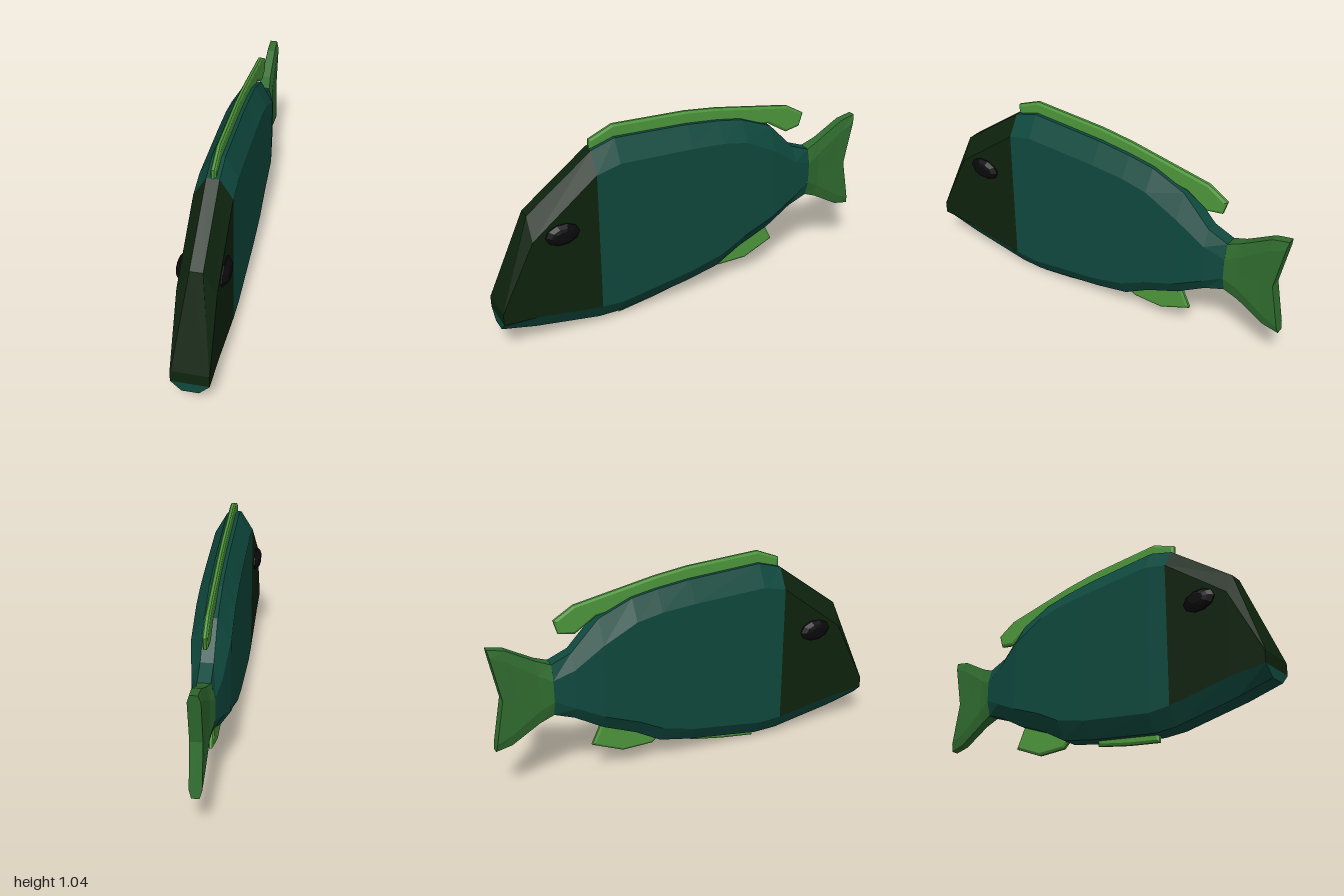
import * as THREE from 'three';

const mat = (name, color) => {
  const m = new THREE.MeshStandardMaterial({ color, flatShading: true });
  m.name = name;
  return m;
};

// Mirror the right-hand points of a cross-section to close it, anticlockwise from the front
const ring = (right) => [...right, ...right.map(([x, y, z]) => [-x, y, z]).reverse()];

const quad = (out, a, b, c, d) => out.push(...a, ...b, ...c, ...a, ...c, ...d);

// Skin the chosen edge bands between consecutive rings, running front to back
function skin(out, rings, bands) {
  for (let i = 0; i < rings.length - 1; i++) {
    const p = rings[i], q = rings[i + 1], n = p.length;
    for (const j of bands) quad(out, p[j], q[j], q[(j + 1) % n], p[(j + 1) % n]);
  }
}

function mesh(name, out, material) {
  const g = new THREE.BufferGeometry();
  g.setAttribute('position', new THREE.Float32BufferAttribute(out, 3));
  g.computeVertexNormals();
  const m = new THREE.Mesh(g, material);
  m.name = name;
  return m;
}

// Bevelled thin fin from a side outline of [z, y] points
function fin(name, outline, material) {
  const shape = new THREE.Shape(outline.map(([z, y]) => new THREE.Vector2(-z, y)));
  const g = new THREE.ExtrudeGeometry(shape, {
    depth: 0.012, bevelThickness: 0.007, bevelSize: 0.012, bevelOffset: -0.012, bevelSegments: 1,
  });
  g.translate(0, 0, -0.006).rotateY(Math.PI / 2);
  const m = new THREE.Mesh(g, material);
  m.name = name;
  return m;
}

export function createModel() {
  const teal = mat('teal body', 0x0f493e);
  const dark = mat('dark green head', 0x0e230e);
  const green = mat('bright green fin', 0x4e983c);
  const tailGreen = mat('mid green tail', 0x306c2f);
  const black = mat('black eye', 0x0a090c);
  const fish = new THREE.Group();
  fish.name = 'fish';

  // Body sections: z, top, shoulder, lower edge, bottom, half width, top half width, bottom half width
  const sections = [
    [1.0, 0.245, 0.24, 0.182, 0.13, 0.09, 0.085, 0.04],
    [0.83, 0.69, 0.58, 0.172, 0.09, 0.09, 0.03, 0.04],
    [0.5, 0.94, 0.84, 0.12, 0.035, 0.09, 0.03, 0.04],
    [0.38, 0.977, 0.87, 0.115, 0.033, 0.09, 0.03, 0.04],
    [0.0, 0.96, 0.857, 0.175, 0.092, 0.09, 0.03, 0.04],
    [-0.17, 0.942, 0.845, 0.22, 0.13, 0.09, 0.03, 0.04],
    [-0.3, 0.92, 0.82, 0.29, 0.207, 0.09, 0.03, 0.04],
    [-0.47, 0.85, 0.735, 0.36, 0.28, 0.09, 0.03, 0.04],
    [-0.61, 0.705, 0.63, 0.43, 0.362, 0.07, 0.03, 0.03],
    [-0.71, 0.665, 0.59, 0.48, 0.402, 0.05, 0.03, 0.03],
  ];
  const rings = sections.map(([z, top, sh, lo, bot, w, t, b]) =>
    ring([[b, bot, z], [w, lo, z], [w, sh, z], [t, top, z]]));

  // Head: dark bands above the lower edge, with the upper snout face
  const head = [], f = rings[0];
  skin(head, rings.slice(0, 3), [1, 2, 3, 4, 5]);
  quad(head, f[6], f[1], f[2], f[5]);
  quad(head, f[5], f[2], f[3], f[4]);
  fish.add(mesh('head', head, dark));

  // Body: chin, trunk and rear end
  const body = [], r = rings[rings.length - 1];
  skin(body, rings.slice(0, 3), [0, 6, 7]);
  skin(body, rings.slice(2), [0, 1, 2, 3, 4, 5, 6, 7]);
  quad(body, f[7], f[0], f[1], f[6]);
  for (let k = 0; k < 3; k++) quad(body, r[k], r[7 - k], r[6 - k], r[k + 1]);
  fish.add(mesh('body', body, teal));

  // Tail: z at the tips, z at the middle, top, bottom, edge inset, half width, edge half width
  const tailRings = [
    [-0.71, -0.71, 0.665, 0.402, 0.077, 0.05, 0.03],
    [-0.78, -0.78, 0.695, 0.37, 0.07, 0.036, 0.022],
    [-0.92, -0.87, 0.777, 0.287, 0.06, 0.031, 0.02],
    [-1.0, -0.95, 0.795, 0.27, 0.04, 0.029, 0.018],
  ].map(([z, zm, top, bot, e, w, t]) => {
    const zi = z + (zm - z) * 0.15;
    return ring([[t, bot, z], [w, bot + e, zi], [w, 0.53, zm], [w, top - e, zi], [t, top, z]]);
  });
  const tail = [], end = tailRings[3];
  skin(tail, tailRings, [...end.keys()]);
  for (let k = 0; k < 4; k++) quad(tail, end[k], end[9 - k], end[8 - k], end[k + 1]);
  fish.add(mesh('tail', tail, tailGreen));

  // Fins along the back and belly
  fish.add(fin('dorsalFin', [
    [0.5, 0.9], [0.5, 0.985], [0.38, 1.036], [0, 1.02], [-0.17, 1.0], [-0.58, 0.927],
    [-0.68, 0.868], [-0.66, 0.8], [-0.58, 0.785], [-0.47, 0.855], [-0.3, 0.87], [0.3, 0.92],
  ], green));
  fish.add(fin('analFin', [
    [-0.17, 0.13], [-0.2, 0.104], [-0.36, 0.104], [-0.52, 0.175], [-0.46, 0.3], [-0.3, 0.3],
  ], green));
  fish.add(fin('bellyFin', [
    [0.38, 0.1], [0.38, 0.0], [0.2, 0.027], [0.02, 0.064], [0.02, 0.14],
  ], green));

  // Eyes: faceted domes on both sides
  const dome = new THREE.LatheGeometry(
    [[1, -0.01], [1, 0.006], [0.72, 0.024], [0.45, 0.03], [0, 0.03]].map(([x, y]) => new THREE.Vector2(x, y)), 10);
  dome.scale(0.055, 1, 0.084);
  for (const side of [1, -1]) {
    const eye = new THREE.Mesh(dome, black);
    eye.name = side > 0 ? 'leftEye' : 'rightEye';
    eye.rotation.z = -side * Math.PI / 2;
    eye.position.set(side * 0.09, 0.585, 0.685);
    fish.add(eye);
  }
  return fish;
}
